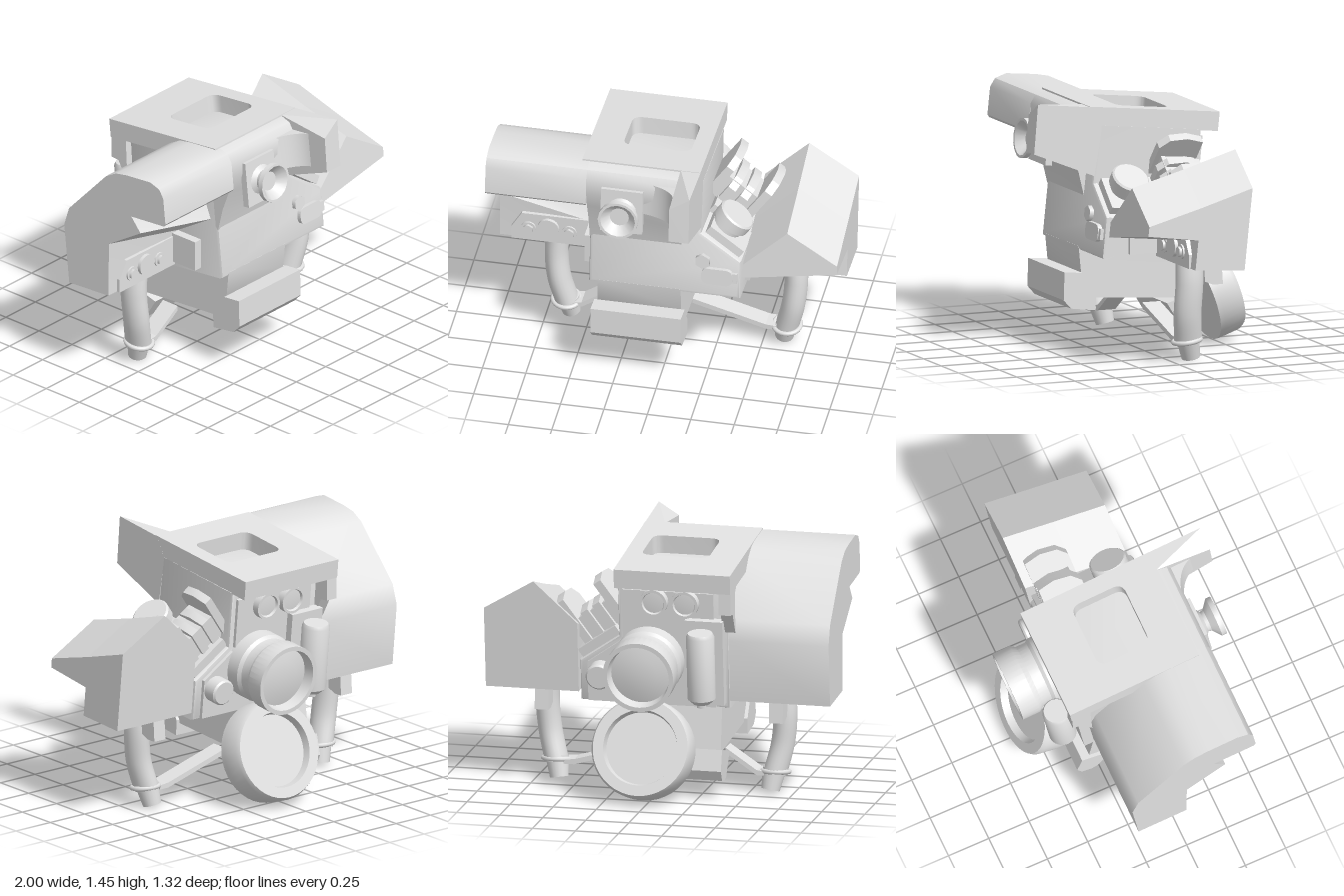
import * as THREE from 'three';
import { toCreasedNormals } from 'three/addons/utils/BufferGeometryUtils.js';

const grey = new THREE.MeshStandardMaterial({ color: 0xe2e2e2 });
grey.name = 'light grey';

function add(parent, name, geo, x = 0, y = 0, z = 0, rx = 0, ry = 0, rz = 0) {
  const m = new THREE.Mesh(geo, grey);
  m.name = name;
  m.position.set(x, y, z);
  m.rotation.set(rx, ry, rz);
  parent.add(m);
}
const box = (w, h, d) => new THREE.BoxGeometry(w, h, d);
const cyl = (r, h, n = 24, r2 = r) => new THREE.CylinderGeometry(r2, r, h, n);
const v2 = ([x, y]) => new THREE.Vector2(x, y);
const smooth = (g) => toCreasedNormals(g, 0.6);
const lathe = (pts, n = 32) => smooth(new THREE.LatheGeometry(pts.map(v2), n));

// Solid between two matching 2D outlines, placed in space by at(point, end)
function loft(a, b, at) {
  const n = a.length, tris = [];
  const A = a.map((p) => at(p, 0)), B = b.map((p) => at(p, 1));
  for (let i = 0; i < n; i++) {
    const j = (i + 1) % n;
    tris.push([A[i], A[j], B[j]], [A[i], B[j], B[i]]);
  }
  const outline = a.map(v2);
  const ccw = THREE.ShapeUtils.area(outline) > 0;
  for (const [i, p, q] of THREE.ShapeUtils.triangulateShape(outline, [])) {
    const same = (THREE.ShapeUtils.area([outline[i], outline[p], outline[q]]) > 0) === ccw;
    const [j, k] = same ? [p, q] : [q, p];
    tris.push([A[k], A[j], A[i]], [B[i], B[j], B[k]]);
  }
  // turn all faces outwards
  const volume = tris.reduce((s, [p, q, r]) => s + p.dot(q.clone().cross(r)), 0);
  if (volume < 0) tris.forEach((t) => t.reverse());
  const geo = new THREE.BufferGeometry().setFromPoints(tris.flat());
  geo.computeVertexNormals();
  return geo;
}
// Outlines given as [z, y] and run along x
const loftX = (pa, xa, pb, xb) => smooth(loft(pa, pb, ([z, y], end) => new THREE.Vector3(end ? xb : xa, y, z)));
const prismX = (p, xa, xb) => loftX(p, xa, p, xb);
// Outlines given as [x, y] and run along z
const loftZ = (pa, za, pb, zb) => loft(pa, pb, ([x, y], end) => new THREE.Vector3(x, y, end ? zb : za));

// Outline in x, z extruded upwards from y0 to y1
function slab(shape, y0, y1) {
  const g = new THREE.ExtrudeGeometry(shape, { depth: y1 - y0, bevelEnabled: false, curveSegments: 10 });
  g.rotateX(Math.PI / 2);
  g.translate(0, y1, 0);
  return smooth(g);
}
function roundedRect(path, x0, y0, x1, y1, r) {
  path.moveTo(x0 + r, y0).lineTo(x1 - r, y0).quadraticCurveTo(x1, y0, x1, y0 + r);
  path.lineTo(x1, y1 - r).quadraticCurveTo(x1, y1, x1 - r, y1);
  path.lineTo(x0 + r, y1).quadraticCurveTo(x0, y1, x0, y1 - r);
  path.lineTo(x0, y0 + r).quadraticCurveTo(x0, y0, x0 + r, y0);
  return path;
}

function buildHousing(t) {
  // Central body with a sloped right shoulder
  const s = new THREE.Shape([[-0.4, 0.56], [0.43, 0.56], [0.43, 0.77], [0.2, 0.93], [0.2, 1.25], [-0.4, 1.25]].map(v2));
  const body = new THREE.ExtrudeGeometry(s, { depth: 0.6, bevelThickness: 0.02, bevelSize: 0.02, bevelSegments: 2 });
  add(t, 'body', smooth(body), 0, 0, -0.215);
  const rear = [[-0.34, 0.55], [0.4, 0.55], [0.4, 0.78], [0.19, 0.93], [0.19, 1.23], [-0.34, 1.23]];
  add(t, 'rearPlate', loftZ(rear, -0.255, rear, -0.22));

  // Top hood with rounded opening and side skirt
  const h = new THREE.Shape([[-0.46, -0.335], [0.215, -0.335], [0.22, 0.47], [-0.46, 0.47]].map(v2));
  h.holes.push(roundedRect(new THREE.Path(), -0.27, -0.065, 0.12, 0.255, 0.06));
  add(t, 'hoodPlate', slab(h, 1.264, 1.375));
  add(t, 'hoodSkirt', prismX([[-0.33, 1.27], [-0.342, 1.14], [-0.29, 1.13], [-0.235, 1.0], [-0.22, 1.27]], -0.46, -0.39));

  // Front flange, its top leaning inwards, swept into the barrel
  const flange = (top) => [[0.79, top], [0.784, 1.09], [0.4, 0.98], [0.38, 1.27], [0.46, 1.372]];
  add(t, 'hoodFlange', loftX(flange(1.3), 0.105, flange(1.375), 0.22));
  const f = new THREE.Shape();
  f.moveTo(0.11, 0.4).lineTo(0.11, 0.68).quadraticCurveTo(0.08, 0.56, -0.1, 0.53).lineTo(-0.1, 0.4);
  add(t, 'hoodFillet', slab(f, 1.1, 1.3));

  // Left hood: overhanging barrel, recess, slanted lip and back shoulder
  const left = (d) => [[-0.238, 0.59], [-0.238, 0.95], [-0.19, 1.06], [0.12, 1.33], [0.2, 1.365], [0.28, 1.372],
    [0.46, 1.37], [0.525, 1.34], [0.55, 1.29], [0.55, 1.13], [0.535, 1.115], [0.29, 1.12],
    [0.35, 1.03 - d], [0.096, 0.905 - d], [0.06, 0.577]];
  add(t, 'leftHood', loftX(left(0), -1, left(0.13), -0.42));
  add(t, 'barrel', prismX([[0.28, 1.0], [0.28, 1.372], [0.46, 1.37], [0.525, 1.34], [0.55, 1.29], [0.545, 1.2], [0.51, 1.1], [0.45, 0.98], [0.4, 0.84]], -0.42, 0.11));

  // Right hood: ridged roof falling towards the front, notched below
  const roof = (d, b0, b1) => [[0.46, 1.0 - d], [0.71, 1.236 - d], [1, 1.06 - d], [1, b1], [0.46, b0]];
  add(t, 'rightHoodRear', loftZ(roof(0, 0.59, 0.59), -0.232, roof(0.125, 0.577, 0.577), 0.07));
  add(t, 'rightHoodFront', loftZ(roof(0.125, 0.67, 0.75), 0.07, roof(0.245, 0.67, 0.76), 0.38));
}

function buildOptics(t) {
  // Eyepiece on the front
  const half = Math.PI / 2;
  add(t, 'eyepieceMount', box(0.24, 0.27, 0.04), -0.21, 1.12, 0.55);
  add(t, 'eyepiece', lathe([[0, 0], [0.11, 0], [0.1, 0.03], [0.06, 0.06], [0.065, 0.08], [0.115, 0.12], [0.115, 0.15],
    [0.1, 0.15], [0.055, 0.1], [0, 0.1]], 16), -0.21, 1.12, 0.53, half);

  // Main lens on the back
  add(t, 'mainLens', lathe([[0, 0], [0.2, 0], [0.2, 0.1], [0.185, 0.12], [0.185, 0.18], [0.205, 0.21], [0.205, 0.315],
    [0.18, 0.315], [0.17, 0.25], [0.1, 0.265], [0, 0.27]], 40), 0.035, 0.815, -0.24, -half);
  // Small twin lenses under the hood
  for (const x of [0.0, -0.18]) {
    add(t, 'smallLens', lathe([[0, 0], [0.08, 0], [0.08, 0.05], [0.065, 0.05], [0.06, 0.035], [0, 0.04]], 24), x, 1.17, -0.25, -half);
  }
  add(t, 'rearKnob', lathe([[0, 0], [0.075, 0], [0.075, 0.08], [0.065, 0.09], [0, 0.09]], 24), 0.32, 0.72, -0.25, -half);

  // Upright canister beside the lens
  add(t, 'canisterBase', box(0.22, 0.5, 0.06), -0.29, 0.83, -0.27);
  add(t, 'canister', lathe([[0, 0], [0.05, 0], [0.08, 0.03], [0.08, 0.4], [0.07, 0.42], [0, 0.42]], 24), -0.29, 0.62, -0.38);
  add(t, 'canisterBolt', cyl(0.03, 0.03, 6), -0.29, 0.61, -0.38);
}

function buildControls(t) {
  // Finned rail and knob standing on the sloped shoulder
  const slope = new THREE.Group();
  slope.name = 'shoulderControls';
  slope.position.set(0.335, 0.865, 0);
  slope.rotation.z = -0.62;
  t.add(slope);
  add(slope, 'railBase', box(0.27, 0.06, 0.36), -0.01, 0.02, -0.03);
  add(slope, 'railCarrier', box(0.27, 0.16, 0.2), -0.05, 0.11, -0.06);
  [0.33, 0.23, 0.23, 0.35].forEach((h, i) => {
    const x = -0.2 + i * 0.085;
    add(slope, 'railFin', prismX([[0.07, 0.05], [0.07, h - 0.08], [0.02, h - 0.02], [-0.08, h], [-0.18, h - 0.02], [-0.18, 0.05]], x - 0.025, x + 0.025));
  });
  add(slope, 'knobBase', box(0.24, 0.05, 0.22), 0, 0.03, 0.27);
  add(slope, 'knob', lathe([[0, 0], [0.09, 0], [0.09, 0.03], [0.11, 0.04], [0.11, 0.1], [0.1, 0.11], [0, 0.11]], 24), -0.03, 0.05, 0.255);

  // Front hex bolt and lozenge cover
  add(t, 'hexBolt', cyl(0.045, 0.03, 6), 0.235, 0.77, 0.415, Math.PI / 2);
  const loz = roundedRect(new THREE.Shape(), 0.23, 0.63, 0.41, 0.73, 0.045);
  add(t, 'lozengeCover', smooth(new THREE.ExtrudeGeometry(loz, { depth: 0.025, bevelEnabled: false })), 0, 0, 0.405);
  add(t, 'lozengeTab', box(0.05, 0.06, 0.02), 0.41, 0.68, 0.415);
}

function buildGrip(g, side) {
  // Mounting plate with bolts, inner bracket and rear tab
  const plate = new THREE.Shape([[0.46, 0.58], [0.93, 0.58], [0.93, 0.66], [0.87, 0.76], [0.46, 0.76]].map(([x, y]) => new THREE.Vector2(x * side, y)));
  add(g, 'gripPlate', new THREE.ExtrudeGeometry(plate, { depth: 0.04, bevelEnabled: false }), 0, 0, -0.02);
  add(g, 'gripDisc', cyl(0.062, 0.03), side * 0.715, 0.68, 0.025, Math.PI / 2);
  for (const x of [0.595, 0.83]) {
    add(g, 'gripBoltWasher', cyl(0.042, 0.02), side * x, 0.665, 0.02, Math.PI / 2);
    add(g, 'gripBolt', cyl(0.03, 0.04, 6), side * x, 0.665, 0.025, Math.PI / 2);
  }
  add(g, 'gripBracket', box(0.05, 0.18, 0.19), side * 0.45, 0.69, 0.09);
  add(g, 'gripTab', prismX([[-0.16, 0.59], [-0.17, 0.46], [-0.22, 0.44], [-0.28, 0.44], [-0.27, 0.59]], side * 0.68 - 0.04, side * 0.68 + 0.04));

  // Curved oval handle, collar and tip
  const path = new THREE.CatmullRomCurve3([[0.68, 0.6, -0.075], [0.69, 0.45, -0.072], [0.675, 0.28, -0.068], [0.635, 0.11, -0.085]]
    .map(([x, y, z]) => new THREE.Vector3(x * side, y, z)));
  const handle = new THREE.TubeGeometry(path, 20, 0.067, 20);
  handle.scale(1, 1, 1.2);
  add(g, 'handle', handle);
  add(g, 'handleTip', cyl(0.053, 0.12, 20, 0.067), side * 0.622, 0.072, -0.115, 0.22, 0, -side * 0.15);
  add(g, 'handleCollar', new THREE.TorusGeometry(0.077, 0.014, 8, 24), side * 0.635, 0.115, -0.095, Math.PI / 2 + 0.15);

  // Flat strap running to the foot
  const inner = side > 0 ? 0.1 : -0.36;
  const a = side * 0.58, b = side > 0 ? 0.52 : -0.54;
  const bar = [[a, 0.1], [b, 0.1], [inner, 0.22], [inner, 0.25], [b, 0.13], [a, 0.125]];
  add(g, 'gripStrap', loftZ(bar, -0.16, bar, -0.05));
}

function buildBase(g) {
  // Lower block, front bar and rear bar
  add(g, 'lowerBlock', prismX([[0.345, 0.6], [0.33, 0.45], [0.24, 0.3], [-0.32, 0.26], [-0.28, 0.56]], -0.37, 0.11));
  add(g, 'frontBar', prismX([[0.44, 0.46], [0.33, 0.45], [0.245, 0.32], [0.25, 0.23], [0.4, 0.25], [0.445, 0.3]], -0.39, 0.13));
  add(g, 'rearBar', prismX([[-0.19, 0.24], [-0.27, 0.11], [-0.31, 0.095], [-0.37, 0.11], [-0.4, 0.17], [-0.37, 0.29]], -0.39, 0.13));
  add(g, 'discBracket', prismX([[-0.25, 0.5], [-0.28, 0.38], [-0.42, 0.34], [-0.38, 0.44]], -0.03, 0.11));

  // Tilted disc with recessed face
  add(g, 'tiltedDisc', lathe([[0, 0], [0.285, 0], [0.287, 0.03], [0.287, 0.14], [0.275, 0.165], [0.215, 0.165],
    [0.205, 0.12], [0, 0.12]], 40), 0.04, 0.271, -0.405, -1.23);
}

export function createModel() {
  const model = new THREE.Group();
  model.name = 'handheldSight';
  const tilted = new THREE.Group();
  tilted.name = 'tiltedHousing';
  tilted.rotation.x = -0.105;
  model.add(tilted);
  buildHousing(tilted);
  buildOptics(tilted);
  buildControls(tilted);
  for (const side of [-1, 1]) {
    const grip = new THREE.Group();
    grip.name = side > 0 ? 'leftGrip' : 'rightGrip';
    buildGrip(grip, side);
    model.add(grip);
  }
  buildBase(model);
  return model;
}
